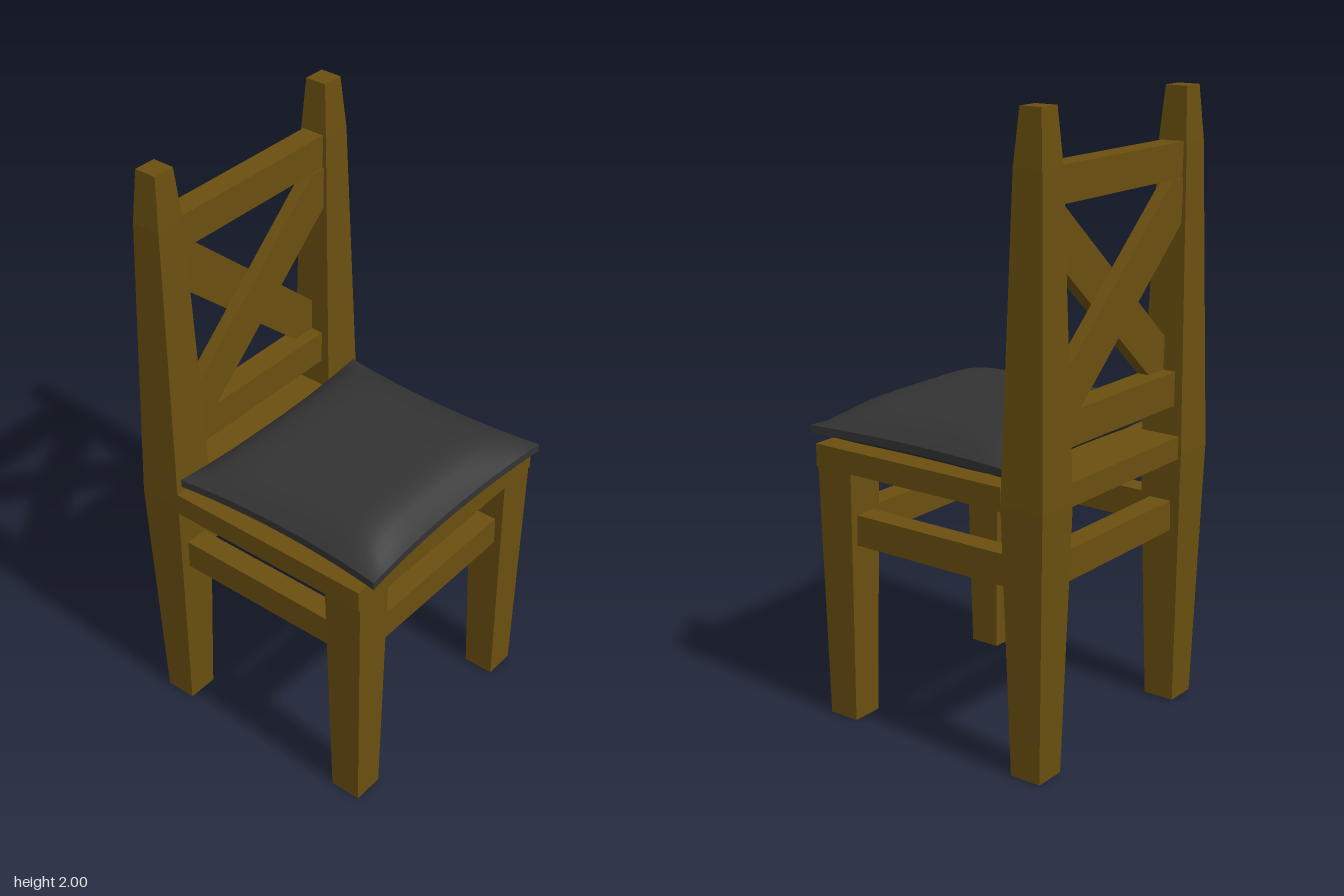
import * as THREE from 'three';

export function createModel() {
  const chair = new THREE.Group();
  chair.name = 'chair';
  const wood = new THREE.MeshStandardMaterial({ color: 0x6a4f0f });
  wood.name = 'brown wood';
  const fabric = new THREE.MeshStandardMaterial({ color: 0x333333 });
  fabric.name = 'charcoal fabric';

  const add = (name, geometry, material = wood) => {
    const mesh = new THREE.Mesh(geometry, material);
    mesh.name = name;
    chair.add(mesh);
    return mesh;
  };

  // Box given by its extents on each axis
  const beam = (name, [x0, x1], [y0, y1], [z0, z1]) =>
    add(name, new THREE.BoxGeometry(x1 - x0, y1 - y0, z1 - z0))
      .position.set((x0 + x1) / 2, (y0 + y1) / 2, (z0 + z1) / 2);

  // Square tapered post from [half width, height] sections
  const post = (name, x, z, sections) => {
    const profile = [[0, sections[0][1]], ...sections, [0, sections.at(-1)[1]]]
      .map(([h, y]) => new THREE.Vector2(h * Math.SQRT2, y));
    const geometry = new THREE.LatheGeometry(profile, 4).rotateY(Math.PI / 4).toNonIndexed();
    geometry.computeVertexNormals();
    add(name, geometry).position.set(x, 0, z);
  };

  // Posts, legs and side stretchers, mirrored
  for (const [side, s] of [['left', 1], ['right', -1]]) {
    post(side + 'BackPost', s * 0.37, -0.38, [[0.053, 0], [0.075, 0.86], [0.05, 1.83], [0.037, 2]]);
    post(side + 'FrontLeg', s * 0.37, 0.348, [[0.053, 0], [0.067, 0.84]]);
    const x = s * 0.37;
    beam(side + 'Stretcher', [x - 0.038, x + 0.038], [0.595, 0.695], [-0.33, 0.31]);
  }

  // Front and back stretchers
  beam('frontStretcher', [-0.33, 0.33], [0.595, 0.695], [0.31, 0.386]);
  beam('backStretcher', [-0.33, 0.33], [0.595, 0.695], [-0.418, -0.342]);

  // Seat with a tongue between the back posts
  beam('seat', [-0.445, 0.445], [0.84, 0.914], [-0.305, 0.415]);
  beam('seatBack', [-0.31, 0.31], [0.84, 0.914], [-0.445, -0.305]);

  // Backrest rails
  beam('topRail', [-0.335, 0.335], [1.725, 1.835], [-0.42, -0.342]);
  beam('lowerRail', [-0.32, 0.32], [1.01, 1.12], [-0.422, -0.338]);

  // Crossed backrest bars, one in front of the other
  const crossBar = (name, s, z) => {
    const outline = [[-0.325, 1.596], [0.305, 1.042], [0.305, 1.227], [-0.26, 1.725], [-0.325, 1.725]]
      .map(([x, y]) => new THREE.Vector2(s * x, y));
    const geometry = new THREE.ExtrudeGeometry(new THREE.Shape(outline), { depth: 0.042, bevelEnabled: false });
    add(name, geometry).position.z = z;
  };
  crossBar('frontCrossBar', -1, -0.379);
  crossBar('rearCrossBar', 1, -0.423);

  // Cushion: a subdivided box puffed up, with edges drawn in between the corners
  const cushion = new THREE.BoxGeometry(2, 2, 2, 24, 1, 24);
  const p = cushion.attributes.position;
  for (let i = 0; i < p.count; i++) {
    const u = p.getX(i), v = p.getZ(i);
    const puff = Math.max(0, (1 - u ** 4) * (1 - v ** 6));
    const y = p.getY(i) > 0 ? 0.962 + 0.085 * puff : 0.936 - 0.022 * Math.min(1, puff * 3);
    p.setXYZ(i,
      0.425 * u * (1 - 0.06 * (1 - v * v)),
      y,
      0.075 + 0.38 * v * (1 - 0.06 * (1 - u * u)));
  }
  cushion.computeVertexNormals();
  add('cushion', cushion, fabric);

  return chair;
}
